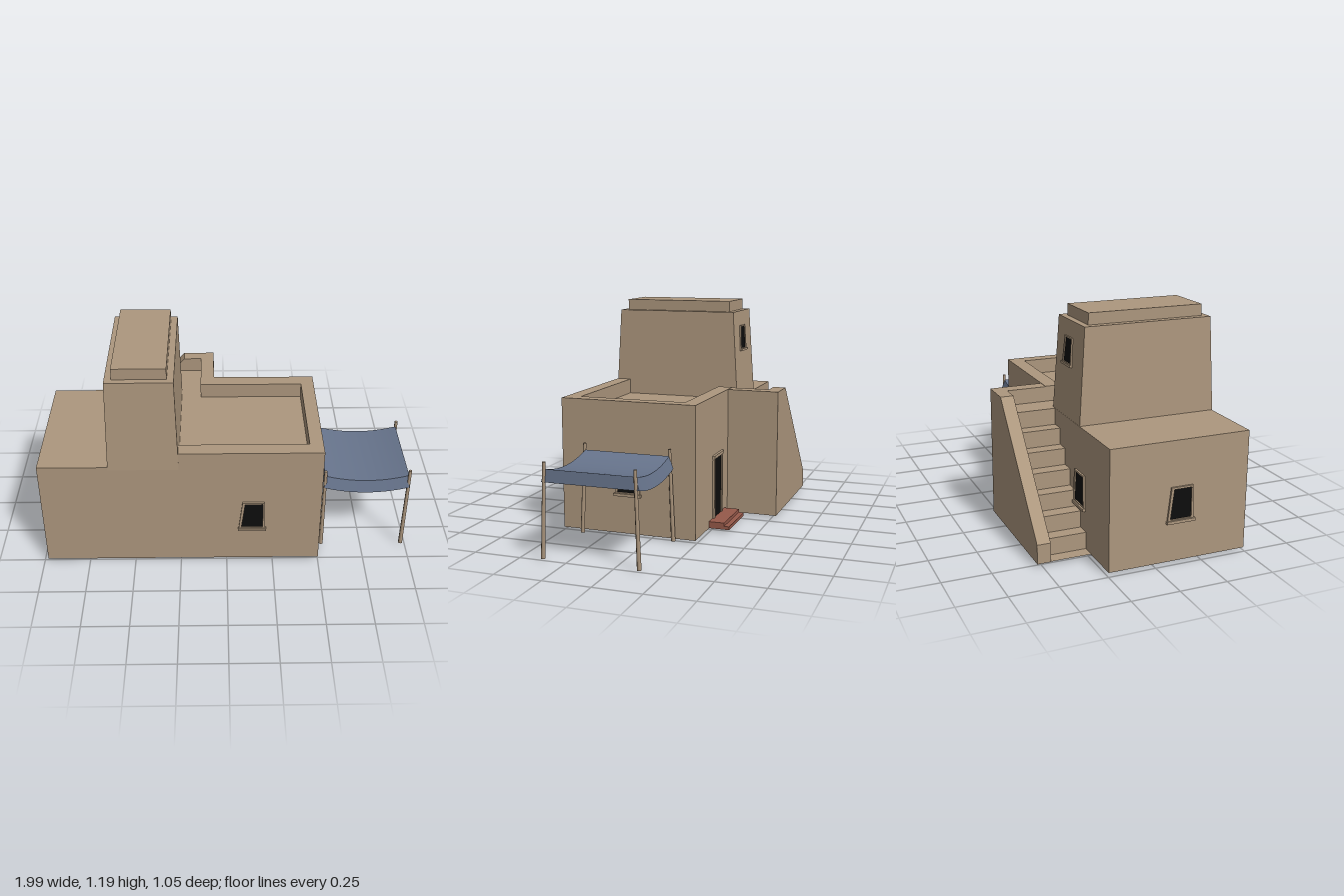
import * as THREE from 'three';

const flat = (name, color) => {
  const m = new THREE.MeshStandardMaterial({ color, side: THREE.DoubleSide });
  m.name = name;
  return m;
};

export function createModel() {
  const adobe = flat('adobe', 0xad977e);
  const dark = flat('dark opening', 0x0d0d0d);
  const cloth = flat('blue cloth', 0x67748c);
  const brick = flat('red brick', 0x96594a);

  const model = new THREE.Group();
  model.name = 'adobeHouse';

  const add = (name, geo, mat, parent = model) => {
    const mesh = new THREE.Mesh(geo, mat);
    mesh.name = name;
    parent.add(mesh);
    return mesh;
  };
  // Box given by its limits along each axis
  const box = (x0, x1, y0, y1, z0, z1) =>
    new THREE.BoxGeometry(x1 - x0, y1 - y0, z1 - z0)
      .translate((x0 + x1) / 2, (y0 + y1) / 2, (z0 + z1) / 2);
  const poly = (pts) => new THREE.Shape(pts.map(([x, y]) => new THREE.Vector2(x, y)));
  const extrude = (shape, depth) =>
    new THREE.ExtrudeGeometry(shape, { depth, bevelEnabled: false });
  // Strip of faces between two rows of points
  const strip = (rowA, rowB) => {
    const geo = new THREE.BufferGeometry();
    geo.setAttribute('position', new THREE.Float32BufferAttribute([...rowA, ...rowB].flat(), 3));
    const n = rowA.length, index = [];
    for (let i = 0; i < n - 1; i++) index.push(i, n + i, n + i + 1, i, n + i + 1, i + 1);
    geo.setIndex(index);
    geo.computeVertexNormals();
    return geo;
  };

  // Main block: hollow and open underneath
  const shell = box(-0.98, 0.502, 0.012, 0.635, -0.24, 0.505);
  const faces = Array.from(shell.index.array);
  faces.splice(18, 6);
  shell.setIndex(faces);
  shell.clearGroups();
  add('houseBody', shell, adobe);

  // Parapet around the roof terrace, with a gap towards the stairs
  const parapet = extrude(poly([
    [-0.25, -0.505], [0.502, -0.505], [0.502, 0.24], [-0.14, 0.24],
    [-0.14, 0.16], [0.43, 0.16], [0.43, -0.425], [-0.25, -0.425],
  ]), 0.083);
  parapet.rotateX(-Math.PI / 2).translate(0, 0.635, 0);
  add('roofParapet', parapet, adobe);

  // Tapered tower and its cap
  const tower = box(-0.615, -0.248, 0.62, 1.13, -0.24, 0.509);
  const tp = tower.attributes.position;
  for (let i = 0; i < tp.count; i++) {
    if (tp.getY(i) < 1) continue;
    tp.setX(i, tp.getX(i) < -0.43 ? -0.603 : -0.26);
    tp.setZ(i, tp.getZ(i) < 0 ? -0.208 : 0.483);
  }
  tower.computeVertexNormals();
  add('tower', tower, adobe);
  add('towerCap', box(-0.567, -0.295, 1.13, 1.19, -0.175, 0.45), adobe);

  // Outside stairs: sloping outer wall, end wall and open-bottomed steps
  const stairWall = extrude(poly([
    [-0.77, 0.014], [-0.065, 0.014], [-0.065, 0.716], [-0.24, 0.716], [-0.77, 0.115],
  ]), 0.07);
  add('stairOuterWall', stairWall.translate(0, 0, -0.525), adobe);
  add('stairEndWall', box(-0.14, -0.065, 0.014, 0.716, -0.456, -0.24), adobe);
  const rise = (0.635 - 0.016) / 7;
  const profile = [[-0.77, 0.016]];
  for (let i = 0; i < 7; i++) {
    const x = -0.7 + i * 0.07;
    profile.push([x, 0.016 + i * rise], [x, 0.016 + (i + 1) * rise]);
  }
  profile.push([-0.14, 0.635]);
  const steps = strip(profile.map(([x, y]) => [x, y, -0.456]),
    profile.map(([x, y]) => [x, y, -0.24])).toNonIndexed();
  steps.computeVertexNormals();
  add('stairSteps', steps, adobe);

  // Windows with one slanted jamb, facing +z before being turned
  const addWindow = (name, x, y, z, turn, tilt = 0, scale = 1) => {
    const g = new THREE.Group();
    g.name = name;
    const opening = [[-0.057, -0.07], [0.057, -0.07], [0.057, 0.085], [-0.038, 0.085]];
    const frame = poly([[-0.071, -0.075], [0.069, -0.075], [0.064, 0.095], [-0.052, 0.095]]);
    frame.holes.push(new THREE.Path(opening.map(([a, b]) => new THREE.Vector2(a, b))));
    add('windowFrame', extrude(frame, 0.01), adobe, g);
    add('windowSill', box(-0.076, 0.076, -0.09, -0.075, 0, 0.018), adobe, g);
    add('windowPane', extrude(poly(opening), 0.008).translate(0, 0, -0.004), dark, g);
    g.position.set(x, y, z);
    g.rotation.set(tilt, turn, 0, 'YXZ');
    g.scale.setScalar(scale);
    model.add(g);
  };
  addWindow('frontWindow', 0.135, 0.305, 0.505, 0);
  addWindow('leftWindow', 0.502, 0.305, 0.132, Math.PI / 2);
  addWindow('rightWindow', -0.98, 0.305, 0.135, -Math.PI / 2);
  addWindow('backWindow', -0.62, 0.305, -0.24, Math.PI);
  addWindow('towerWindow', -0.415, 0.97, -0.2185, Math.PI, -0.063, 0.8);

  // Back door with frame, threshold and brick steps
  const door = new THREE.Group();
  door.name = 'backDoor';
  model.add(door);
  add('doorPanel', box(0.075, 0.192, 0.03, 0.38, -0.244, -0.236), dark, door);
  for (const x of [0.055, 0.192]) {
    add('doorJamb', box(x, x + 0.02, 0.03, 0.38, -0.25, -0.239), adobe, door);
  }
  add('doorLintel', box(0.048, 0.219, 0.38, 0.397, -0.254, -0.239), adobe, door);
  add('doorThreshold', box(0.04, 0.225, 0, 0.014, -0.25, -0.195), adobe, door);
  add('lowerBrickStep', box(-0.01, 0.275, 0.014, 0.032, -0.353, -0.235), brick, door);
  add('upperBrickStep', box(-0.01, 0.275, 0.032, 0.05, -0.325, -0.235), brick, door);

  // Awning poles, leaning slightly
  const awning = new THREE.Group();
  awning.name = 'awning';
  model.add(awning);
  const poles = [
    [0.53, 0.383, 0.534, 0.36], [0.514, -0.124, 0.53, -0.11],
    [0.978, 0.383, 0.988, 0.36], [0.982, -0.124, 0.988, -0.11],
  ];
  for (const [x0, z0, x1, z1] of poles) {
    const a = new THREE.Vector3(x0, 0.003, z0), b = new THREE.Vector3(x1, 0.49, z1);
    const dir = b.clone().sub(a);
    const pole = add('awningPole', new THREE.CylinderGeometry(0.009, 0.012, dir.length(), 6), adobe, awning);
    pole.position.copy(a).add(b).multiplyScalar(0.5);
    pole.quaternion.setFromUnitVectors(new THREE.Vector3(0, 1, 0), dir.normalize());
  }

  // Sagging cloth with a hanging flap on every side
  const row = (z, drop, spread) => Array.from({ length: 13 }, (_, i) => {
    const u = i / 6 - 1;
    return [0.76 + u * (0.226 + spread), 0.455 - 0.032 * (1 - u * u) - drop, z];
  });
  const back = row(-0.11, 0, 0), front = row(0.357, 0, 0);
  add('awningCloth', strip(back, front), cloth, awning);
  add('awningFrontFlap', strip(front, row(0.378, 0.065, 0.004)), cloth, awning);
  add('awningBackFlap', strip(row(-0.131, 0.065, 0.004), back), cloth, awning);
  add('awningOuterFlap', strip([[0.986, 0.455, -0.11], [0.986, 0.455, 0.357]],
    [[0.99, 0.39, -0.131], [0.99, 0.39, 0.378]].map((p) => p)).scale(1, 1, 1), cloth, awning);
  add('awningInnerFlap', strip([[0.53, 0.39, -0.131], [0.53, 0.39, 0.378]],
    [[0.534, 0.455, -0.11], [0.534, 0.455, 0.357]]), cloth, awning);

  return model;
}
